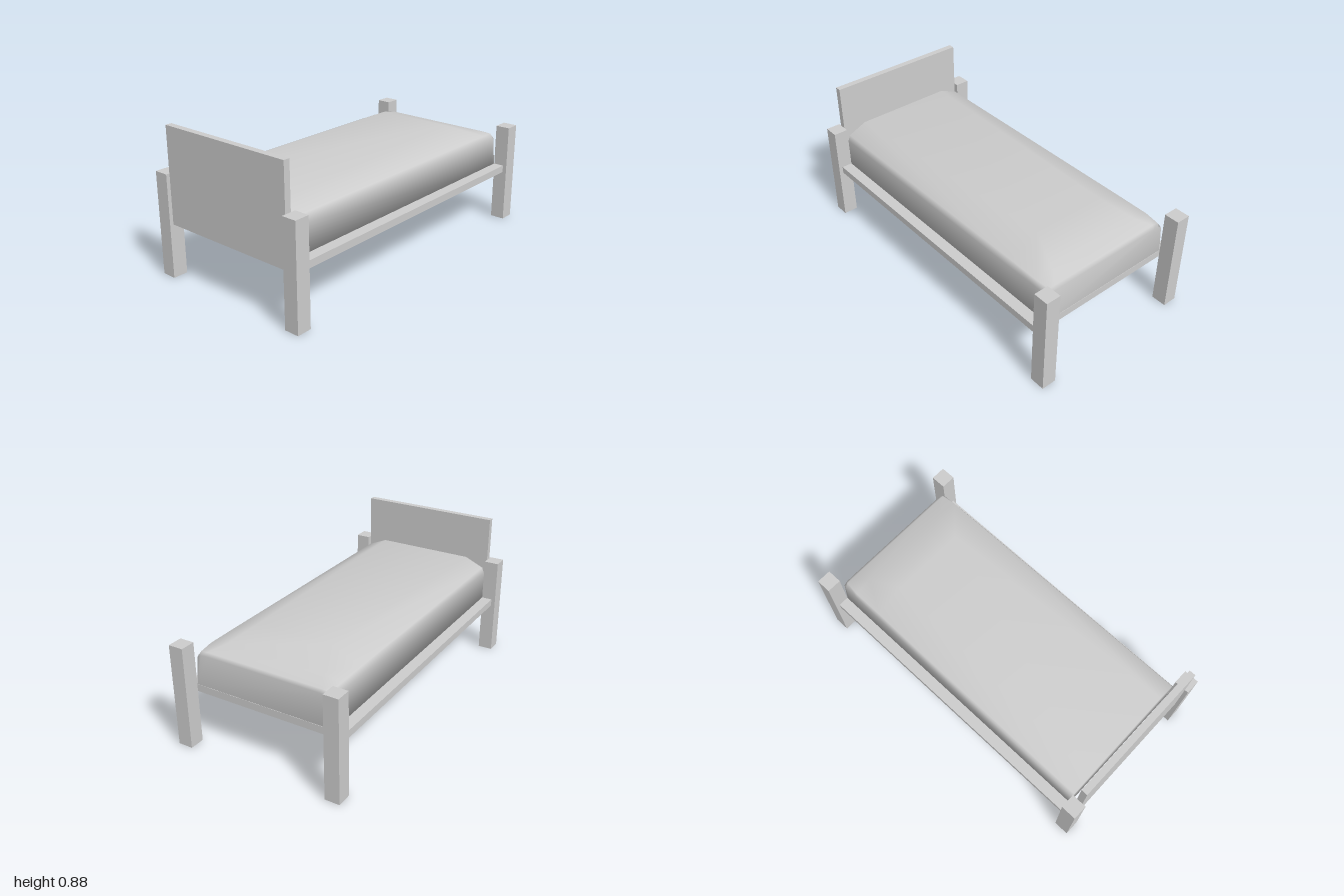
import * as THREE from 'three';

export function createModel() {
  const bed = new THREE.Group();
  bed.name = 'bed';
  const grey = new THREE.MeshStandardMaterial({ color: 0xcccccc });
  grey.name = 'light grey';

  // Box given by its minimum and maximum corners
  function box(name, [x0, y0, z0], [x1, y1, z1]) {
    const mesh = new THREE.Mesh(new THREE.BoxGeometry(x1 - x0, y1 - y0, z1 - z0), grey);
    mesh.position.set((x0 + x1) / 2, (y0 + y1) / 2, (z0 + z1) / 2);
    mesh.name = name;
    bed.add(mesh);
  }

  // Four corner posts
  for (const sx of [-1, 1]) {
    for (const sz of [-1, 1]) {
      const x = sx * 0.955, z = sz * 0.475;
      box((sx < 0 ? 'head' : 'foot') + (sz < 0 ? 'BackPost' : 'FrontPost'),
        [x - 0.045, 0, z - 0.044], [x + 0.045, 0.61, z + 0.044]);
    }
  }

  box('basePlatform', [-0.91, 0.315, -0.495], [0.91, 0.358, 0.495]);
  box('headboard', [-0.978, 0.315, -0.432], [-0.94, 0.88, 0.432]);

  // Mattress: x of each section, then half profile [z, y] from side to top edge
  const sections = [
    [-0.91, [0.43, 0.53], [0.415, 0.565], [0.3, 0.615]],
    [0.61, [0.425, 0.53], [0.41, 0.565], [0.23, 0.645]],
    [0.8, [0.422, 0.53], [0.41, 0.563], [0.3, 0.588]],
    [0.89, [0.42, 0.53], [0.4, 0.557], [0.36, 0.56]],
    [0.908, [0.415, 0.525], [0.39, 0.542], [0.35, 0.545]],
  ];
  const positions = [], index = [], n = 8;
  for (const [x, ...upper] of sections) {
    const half = [[0.43, 0.358], ...upper];
    for (const [z, y] of half) positions.push(x, y, z);
    for (const [z, y] of half.reverse()) positions.push(x, y, -z);
  }
  for (let s = 0; s < sections.length - 1; s++) {
    for (let i = 0; i < n; i++) {
      const a = s * n + i, b = s * n + (i + 1) % n;
      index.push(a, a + n, b, b, a + n, b + n);
    }
  }
  // End faces share their corners with the sides for a soft look
  const last = (sections.length - 1) * n;
  for (let i = 1; i < n - 1; i++) {
    index.push(0, i, i + 1);
    index.push(last, last + i + 1, last + i);
  }
  const geometry = new THREE.BufferGeometry();
  geometry.setAttribute('position', new THREE.Float32BufferAttribute(positions, 3));
  geometry.setIndex(index);
  geometry.computeVertexNormals();
  const mattress = new THREE.Mesh(geometry, grey);
  mattress.name = 'mattress';
  bed.add(mattress);

  return bed;
}
